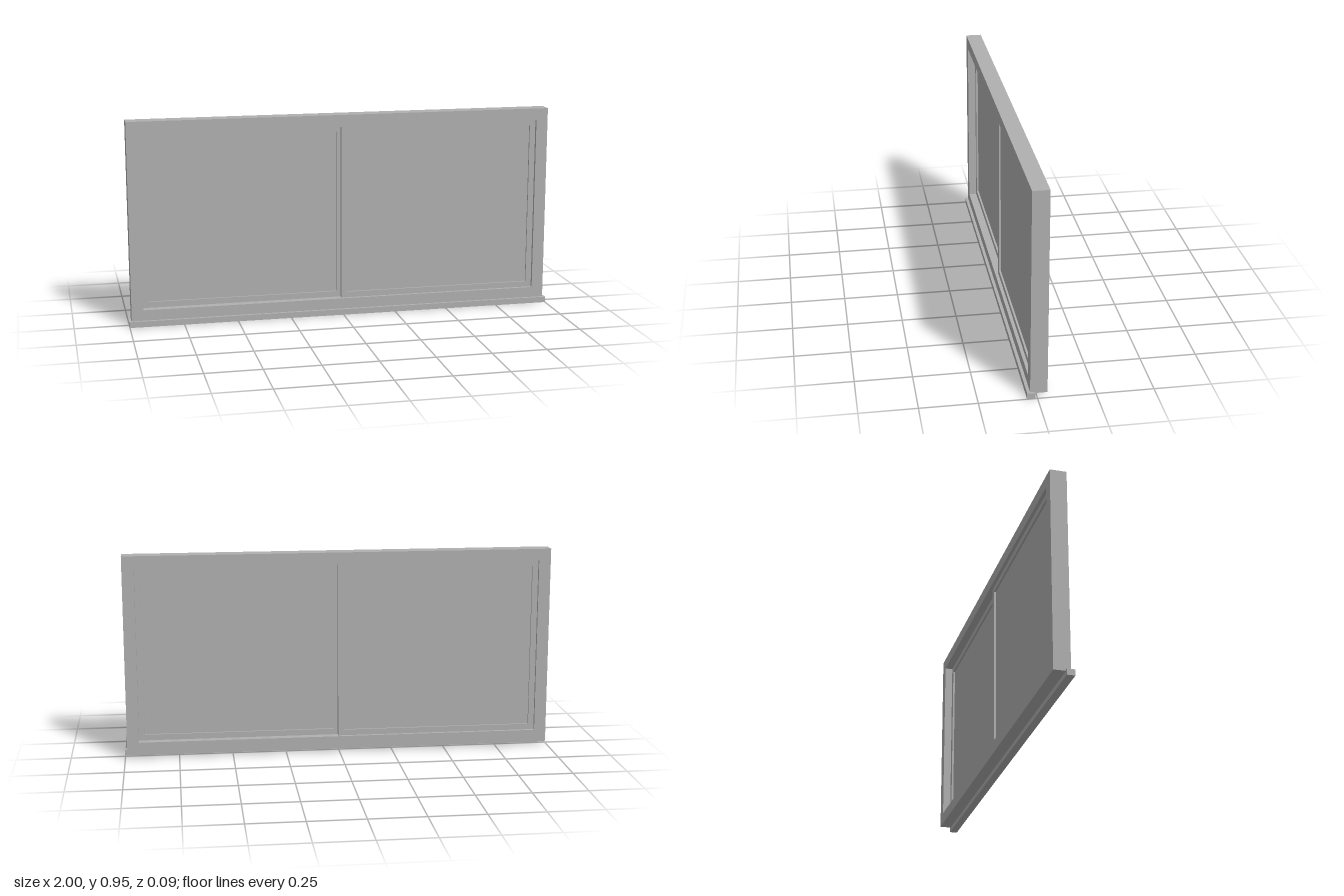
import * as THREE from 'three';

const grey = new THREE.MeshStandardMaterial({ color: 0xb0b0b0 });
grey.name = 'grey';

// Rectangular ring between two z planes, with an even border or explicit hole
function ring(name, [x0, x1, y0, y1], border, z0, z1) {
  const rect = (target, a, b, c, d) => {
    target.moveTo(a, c);
    target.lineTo(b, c);
    target.lineTo(b, d);
    target.lineTo(a, d);
    target.closePath();
    return target;
  };
  const shape = rect(new THREE.Shape(), x0, x1, y0, y1);
  shape.holes.push(rect(new THREE.Path(), x0 + border, x1 - border, y0 + border, y1 - border));
  const geometry = new THREE.ExtrudeGeometry(shape, { depth: z1 - z0, bevelEnabled: false });
  geometry.translate(0, 0, z0);
  const mesh = new THREE.Mesh(geometry, grey);
  mesh.name = name;
  return mesh;
}

function box(name, x0, x1, y0, y1, z0, z1) {
  const mesh = new THREE.Mesh(new THREE.BoxGeometry(x1 - x0, y1 - y0, z1 - z0), grey);
  mesh.position.set((x0 + x1) / 2, (y0 + y1) / 2, (z0 + z1) / 2);
  mesh.name = name;
  return mesh;
}

// Sliding sash: slim border with a thin pane at mid depth
function sash(name, x0, x1, z0, z1) {
  const group = new THREE.Group();
  group.name = name;
  const y0 = 0.076, y1 = 0.893, border = 0.027, mid = (z0 + z1) / 2;
  group.add(ring('sashFrame', [x0, x1, y0, y1], border, z0, z1));
  group.add(box('pane', x0 + border, x1 - border, y0 + border, y1 - border, mid - 0.002, mid + 0.002));
  return group;
}

export function createModel() {
  const model = new THREE.Group();
  model.name = 'slidingWindow';

  // Fixed outer frame and projecting sill
  model.add(ring('outerFrame', [-0.99, 0.99, 0.021, 0.948], 0.055, -0.044, 0.03));
  model.add(box('sill', -1, 1, 0, 0.027, 0.009, 0.044));

  // Two sashes on neighbouring tracks, overlapping slightly at the middle
  model.add(sash('frontSash', -0.005, 0.935, -0.007, 0.015));
  model.add(sash('backSash', -0.935, 0.005, -0.029, -0.007));
  return model;
}
